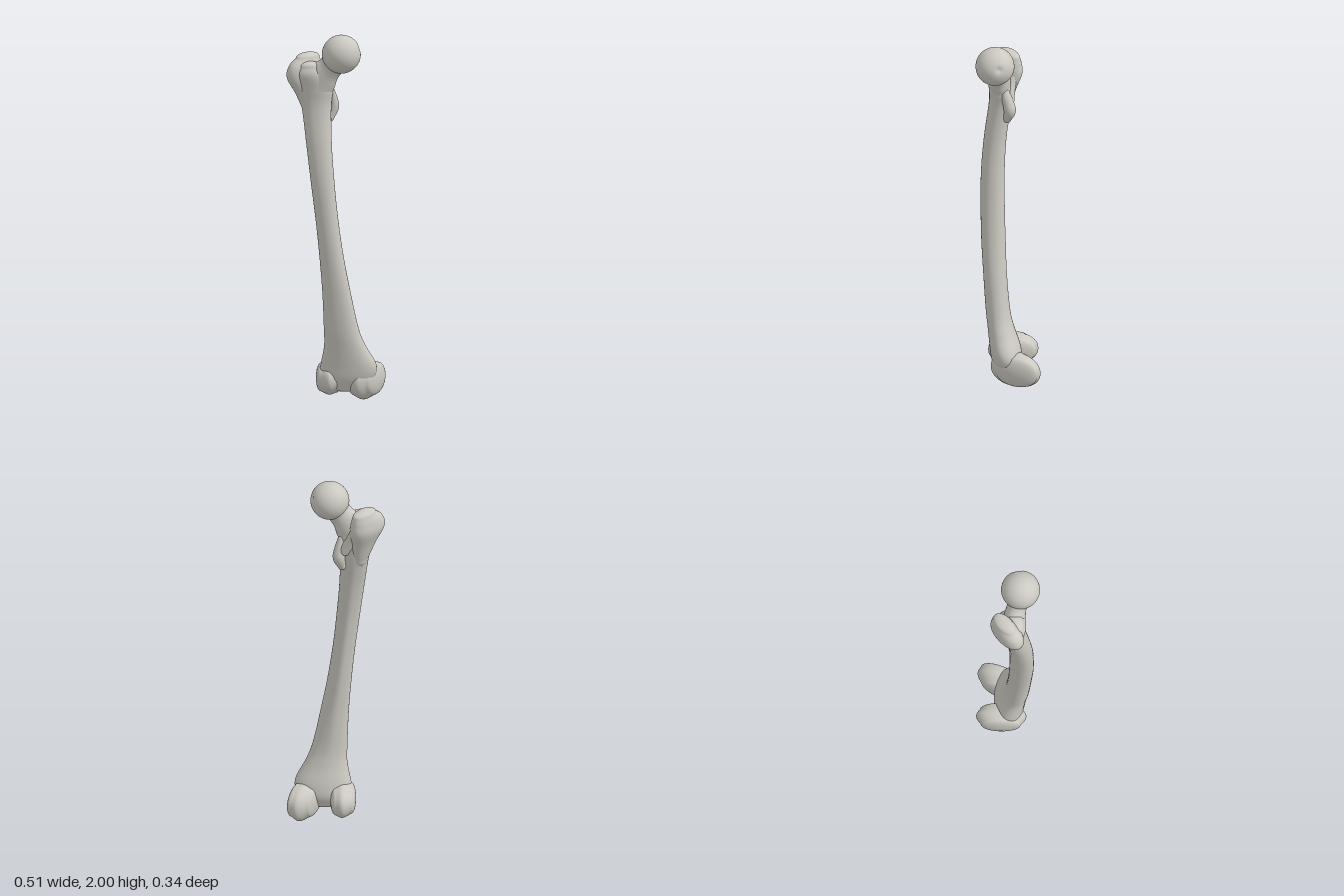
import * as THREE from 'three';
import { mergeVertices } from 'three/addons/utils/BufferGeometryUtils.js';

const bone = new THREE.MeshStandardMaterial({ color: 0xcbc9c1 });
bone.name = 'bone';

const Z = new THREE.Vector3(0, 0, 1);

// Smooth closed skin through stations [x, y, z, halfWidthU, halfWidthV, squareness].
// axis fixes the section plane; without it sections follow the path.
function sweep(stations, { axis, domes = [0.02, 0.02], rings = 40, sides = 48, shape } = {}) {
  const path = new THREE.CatmullRomCurve3(stations.map(s => new THREE.Vector3(s[0], s[1], s[2])), false, 'catmullrom');
  const size = new THREE.CatmullRomCurve3(stations.map(s => new THREE.Vector3(s[3], s[4], s[5] ?? 2)), false, 'catmullrom');
  const list = [];
  const capSteps = 8;
  for (let i = 0; i < capSteps; i++) {
    const f = (1 - i / capSteps) * Math.PI / 2;
    list.push([0, -domes[0] * Math.sin(f), i === 0 ? 0 : Math.cos(f)]);
  }
  for (let i = 0; i <= rings; i++) list.push([i / rings, 0, 1]);
  for (let i = 1; i <= capSteps; i++) {
    const f = i / capSteps * Math.PI / 2;
    list.push([1, domes[1] * Math.sin(f), i === capSteps ? 0 : Math.cos(f)]);
  }

  const pos = [], index = [];
  for (const [t, push, scale] of list) {
    const T = axis ? axis.clone() : path.getTangent(t);
    const U = new THREE.Vector3().crossVectors(T, Z).normalize();
    const V = new THREE.Vector3().crossVectors(U, T);
    const c = path.getPoint(t).addScaledVector(T, push);
    const s = size.getPoint(t);
    for (let j = 0; j < sides; j++) {
      const th = j / sides * Math.PI * 2, e = 2 / s.z;
      const k = scale * (shape ? shape(th, t) : 1);
      const cu = Math.sign(Math.cos(th)) * Math.abs(Math.cos(th)) ** e;
      const sv = Math.sign(Math.sin(th)) * Math.abs(Math.sin(th)) ** e;
      const p = c.clone().addScaledVector(U, s.x * cu * k).addScaledVector(V, s.y * sv * k);
      pos.push(p.x, p.y, p.z);
    }
  }
  for (let i = 0; i < list.length - 1; i++) {
    for (let j = 0; j < sides; j++) {
      const a = i * sides + j, b = i * sides + (j + 1) % sides;
      index.push(a, a + sides, b, b, a + sides, b + sides);
    }
  }
  const g = new THREE.BufferGeometry();
  g.setAttribute('position', new THREE.Float32BufferAttribute(pos, 3));
  g.setIndex(index);
  const merged = mergeVertices(g, 1e-5);
  merged.computeVertexNormals();
  return merged;
}

function part(group, name, geometry) {
  const m = new THREE.Mesh(geometry, bone);
  m.name = name;
  group.add(m);
  return m;
}

// Rounded condyle built across x, then slanted so its back swings sideways
function condyle(stations, domes, slant) {
  const g = sweep(stations, { axis: new THREE.Vector3(1, 0, 0), domes, rings: 20 });
  const p = g.attributes.position;
  for (let i = 0; i < p.count; i++) p.setX(i, p.getX(i) + slant * (p.getZ(i) + 0.04));
  g.computeVertexNormals();
  return g;
}

export function createModel() {
  const group = new THREE.Group();
  group.name = 'thighBone';
  const up = new THREE.Vector3(0, 1, 0);

  // Shaft: height, left and right edge, back and front edge
  const outline = [
    [0.075, -0.065, 0.16, -0.055, 0.07],
    [0.13, -0.092, 0.205, -0.075, 0.088],
    [0.20, -0.082, 0.212, -0.065, 0.096],
    [0.30, -0.063, 0.16, -0.032, 0.105],
    [0.40, -0.063, 0.122, -0.01, 0.115],
    [0.60, -0.07, 0.08, 0.007, 0.127],
    [0.80, -0.085, 0.043, 0.014, 0.137],
    [1.00, -0.105, 0.015, 0.018, 0.14],
    [1.20, -0.13, -0.005, 0.017, 0.137],
    [1.40, -0.155, -0.02, 0.004, 0.12],
    [1.60, -0.182, -0.025, -0.025, 0.094],
    [1.70, -0.208, -0.016, -0.03, 0.096],
    [1.78, -0.222, -0.045, -0.02, 0.104],
    [1.825, -0.2, -0.08, 0, 0.09],
  ];
  // Ridge down the back of the middle shaft
  const ridge = (th, t) =>
    1 + 0.1 * Math.sin(Math.PI * t) ** 2 * Math.exp(-(((th - Math.PI * 1.5) / 0.28) ** 2));
  part(group, 'shaft', sweep(
    outline.map(([y, x0, x1, z0, z1]) => [(x0 + x1) / 2, y, (z0 + z1) / 2, (x1 - x0) / 2, (z1 - z0) / 2, 2.15]),
    { axis: up, domes: [0.025, 0.025], rings: 110, shape: ridge }));

  // Ball head with a small pit on its inner side
  const ball = new THREE.SphereGeometry(0.103, 64, 48);
  const pit = new THREE.Vector3(0.93, 0.3, -0.2).normalize();
  const bp = ball.attributes.position, v = new THREE.Vector3();
  for (let i = 0; i < bp.count; i++) {
    v.fromBufferAttribute(bp, i);
    const d = v.angleTo(pit) / 0.17;
    v.multiplyScalar(1 - 0.1 * Math.exp(-d * d));
    bp.setXYZ(i, v.x, v.y, v.z);
  }
  ball.computeVertexNormals();
  part(group, 'head', ball).position.set(0.031, 1.897, 0.066);

  // Neck flaring into the shaft
  part(group, 'neck', sweep([
    [-0.115, 1.69, 0.035, 0.092, 0.06],
    [-0.075, 1.765, 0.04, 0.085, 0.058],
    [-0.032, 1.818, 0.05, 0.067, 0.053],
    [0.01, 1.87, 0.06, 0.074, 0.064],
  ], { domes: [0.03, 0.02] }));

  // Large outer knob, set diagonally
  const outer = part(group, 'greaterTrochanter', sweep([
    [0.02, 1.57, 0.035, 0.045, 0.038],
    [0.01, 1.67, 0.018, 0.075, 0.05],
    [0, 1.76, 0, 0.108, 0.06, 2.2],
    [0.004, 1.82, 0, 0.1, 0.056, 2.2],
    [0.022, 1.862, 0, 0.074, 0.042],
  ], { axis: up, domes: [0.04, 0.025] }));
  outer.position.set(-0.17, 0, 0.006);
  outer.rotation.y = Math.PI / 4;

  // Crest running across the back down to the small inner knob
  part(group, 'crest', sweep([
    [-0.12, 1.79, -0.04, 0.03, 0.026],
    [-0.09, 1.71, -0.022, 0.03, 0.026],
    [-0.045, 1.63, -0.012, 0.03, 0.026],
  ]));
  part(group, 'lesserTrochanter', sweep([
    [-0.038, 1.69, 0.012, 0.026, 0.026],
    [-0.024, 1.635, -0.006, 0.03, 0.03],
    [-0.02, 1.59, -0.014, 0.032, 0.032],
    [-0.035, 1.535, -0.002, 0.022, 0.022],
  ], { domes: [0.03, 0.025] }));

  // Knee end: two condyles with a notch between them at the back
  part(group, 'innerCondyle', condyle([
    [0.112, 0.102, -0.036, 0.083, 0.108, 2.1],
    [0.158, 0.1, -0.04, 0.1, 0.13, 2.2],
    [0.2, 0.108, -0.042, 0.087, 0.112, 2.1],
  ], [0.03, 0.035], -0.32));
  part(group, 'outerCondyle', condyle([
    [-0.085, 0.115, -0.033, 0.074, 0.105, 2.1],
    [-0.04, 0.113, -0.033, 0.088, 0.133, 2.2],
    [-0.002, 0.113, -0.033, 0.078, 0.115, 2.1],
  ], [0.027, 0.027], 0.03));

  return group;
}
